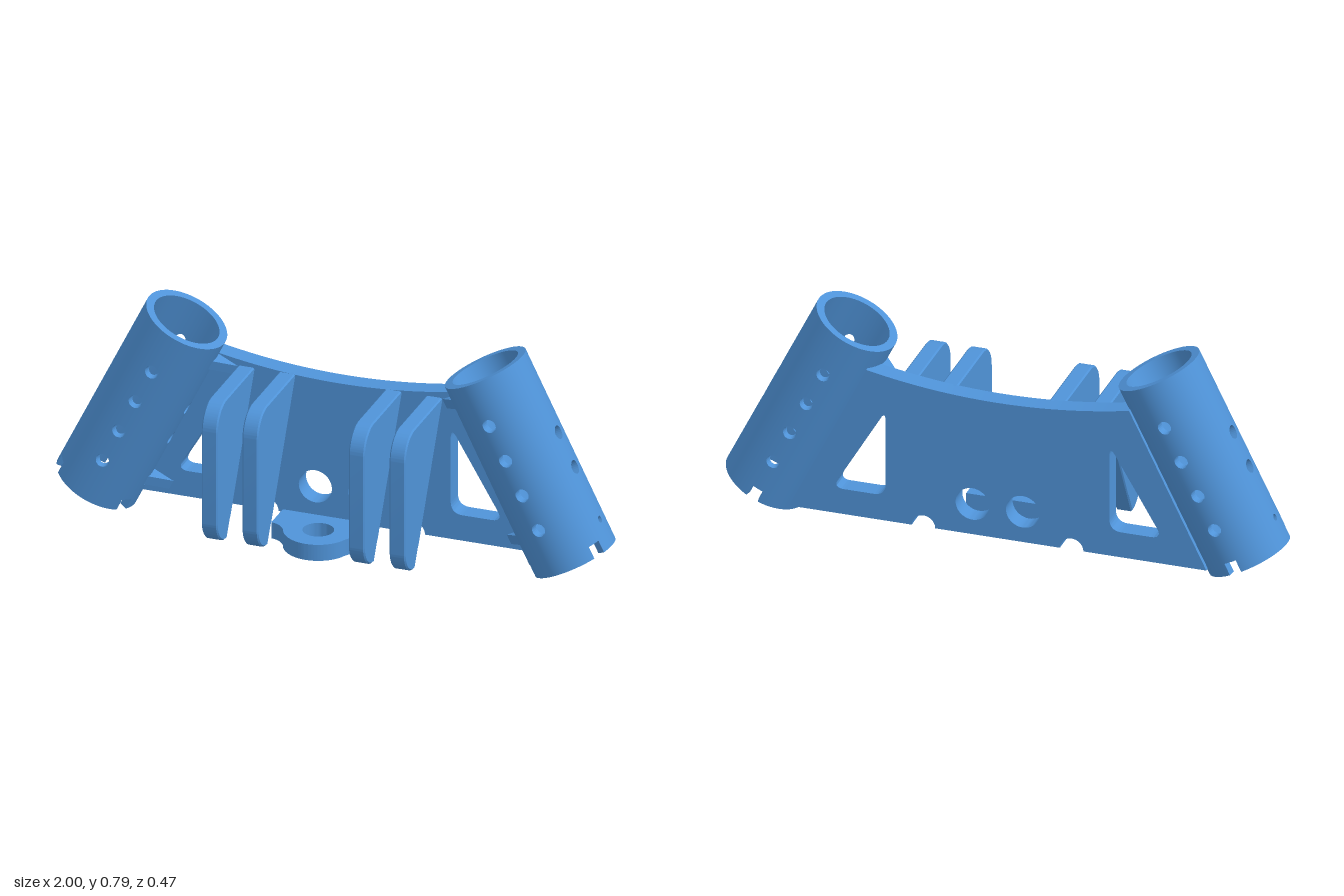
import * as THREE from 'three';
import { toCreasedNormals } from 'three/addons/utils/BufferGeometryUtils.js';

const material = new THREE.MeshStandardMaterial({ color: 0x4f93d8 });
const R = 0.151, WALL = 0.029, LENGTH = 0.731, TILT = 0.4605;
const PI = Math.PI;

function part(name, geometry, parent) {
  const mesh = new THREE.Mesh(geometry, material);
  mesh.name = name;
  parent.add(mesh);
  return mesh;
}

// Extrusion centred on its own thickness, with optional small chamfer
function slab(shape, thickness, bevel = 0) {
  const g = new THREE.ExtrudeGeometry(shape, {
    depth: thickness - 2 * bevel, curveSegments: 24, bevelEnabled: bevel > 0,
    bevelSize: bevel, bevelThickness: bevel, bevelOffset: -bevel, bevelSegments: 1,
  });
  g.translate(0, 0, bevel - thickness / 2);
  return toCreasedNormals(g, 0.5);
}

const circle = (x, y, r) => new THREE.Path().absarc(x, y, r, 0, 2 * PI, true);

// Closed polygon with rounded corners
function roundedPath(points, radius) {
  const path = new THREE.Path();
  const v = points.map(p => new THREE.Vector2(...p));
  v.forEach((p, i) => {
    const toward = q => q.clone().sub(p).setLength(radius).add(p);
    const a = toward(v[(i + v.length - 1) % v.length]), b = toward(v[(i + 1) % v.length]);
    if (i === 0) path.moveTo(a.x, a.y); else path.lineTo(a.x, a.y);
    path.quadraticCurveTo(p.x, p.y, b.x, b.y);
  });
  path.closePath();
  return path;
}

// Keep the part of a polygon on one side of the line x = limit
function clip(poly, limit, sign) {
  const out = [];
  poly.forEach((p, i) => {
    const q = poly[(i + 1) % poly.length];
    const dp = sign * (p.x - limit), dq = sign * (q.x - limit);
    if (dp >= 0) out.push(p);
    if (dp * dq < 0) out.push(p.clone().lerp(q, dp / (dp - dq)));
  });
  return out;
}

// Cut a flat wall into narrow columns and roll it into a tube along y
function rollUp(flat, start, columns) {
  const pos = flat.attributes.position, nor = flat.attributes.normal;
  const step = 2 * PI * R / columns, points = [], normals = [];
  const emit = (p, n) => {
    const a = p.x / R, r = R - WALL + p.z, s = Math.sin(a), c = Math.cos(a);
    points.push(r * s, p.y, r * c);
    normals.push(n.x * c + n.z * s, n.y, -n.x * s + n.z * c);
  };
  for (let i = 0; i < pos.count; i += 3) {
    const tri = [0, 1, 2].map(k => new THREE.Vector3().fromBufferAttribute(pos, i + k));
    const n = new THREE.Vector3().fromBufferAttribute(nor, i);
    const xs = tri.map(p => p.x - start);
    const first = Math.max(0, Math.floor(Math.min(...xs) / step - 1e-6));
    const last = Math.min(columns - 1, Math.floor(Math.max(...xs) / step + 1e-6));
    for (let k = first; k <= last; k++) {
      const lo = k === 0 ? -10 : start + k * step;
      const hi = k === columns - 1 ? 10 : start + (k + 1) * step;
      const poly = clip(clip(tri, lo, 1), hi, -1);
      for (let j = 1; j + 1 < poly.length; j++) [poly[0], poly[j], poly[j + 1]].forEach(p => emit(p, n));
    }
  }
  const g = new THREE.BufferGeometry();
  g.setAttribute('position', new THREE.Float32BufferAttribute(points, 3));
  g.setAttribute('normal', new THREE.Float32BufferAttribute(normals, 3));
  return g;
}

// Tube wall: angle 0 faces front, 90 degrees faces sideways
function tubeGeometry() {
  const start = -PI / 4 * R, end = start + 2 * PI * R, half = 0.0225, depth = 0.045;
  const wall = new THREE.Shape().moveTo(start, 0);
  for (const angle of [PI / 3, PI, 5 * PI / 3]) {
    const u = angle * R;
    wall.lineTo(u - half, 0).lineTo(u - half, depth).lineTo(u + half, depth).lineTo(u + half, 0);
  }
  wall.lineTo(end, 0).lineTo(end, LENGTH).lineTo(start, LENGTH).closePath();
  const drill = (angle, heights, r) => heights.forEach(h => wall.holes.push(circle(angle * R, h, r)));
  for (const turn of [0, PI]) {
    drill(turn, [0.17, 0.304, 0.438, 0.572], 0.024);
    drill(turn + PI / 2, [0.302, 0.436], 0.024);
    drill(turn + PI / 2, [0.1], 0.012);
  }
  const flat = new THREE.ExtrudeGeometry(wall, { depth: WALL, bevelEnabled: false, curveSegments: 12 });
  return rollUp(flat, start, 72);
}

function plateGeometry() {
  const low = 0.045, arcR = 2.33, spread = Math.asin(0.47 / arcR);
  const s = new THREE.Shape().moveTo(-0.747, low);
  for (const x of [-0.265, 0.265]) s.lineTo(x - 0.042, low).absarc(x, low, 0.042, PI, 0, true);
  s.lineTo(0.747, low);
  s.absarc(0, 0.56 + arcR, arcR, -PI / 2 + spread, -PI / 2 - spread, true);
  s.closePath();
  for (const m of [-1, 1]) {
    s.holes.push(circle(m * 0.09, 0.16, 0.06));
    s.holes.push(roundedPath([[m * 0.592, 0.14], [m * 0.4, 0.14], [m * 0.4, 0.465]], 0.045));
  }
  return slab(s, 0.07);
}

// Upright lug drawn in z and y, then turned to face sideways
function lugGeometry() {
  const r = 0.093, front = 0.235, low = 0.045, high = 0.567;
  const s = new THREE.Shape().moveTo(-0.13, low);
  s.absarc(front - r, low + r, r, -PI / 2, 0, false);
  s.absarc(front - r, high - r, r, 0, PI / 2, false);
  s.lineTo(-0.13, high).closePath();
  s.holes.push(circle(0.14, 0.138, 0.034), circle(0.14, 0.482, 0.034));
  return slab(s, 0.058, 0.005).rotateY(-PI / 2);
}

// Horizontal eye between the inner lugs, drawn in x and -z
function eyeGeometry() {
  const s = new THREE.Shape().moveTo(0.17, 0.02).lineTo(-0.17, 0.02).lineTo(-0.17, -0.09);
  s.quadraticCurveTo(-0.125, -0.095, -0.105, -0.148);
  s.absarc(0, -0.09, 0.12, PI + 0.504, 2 * PI - 0.504, false);
  s.quadraticCurveTo(0.125, -0.095, 0.17, -0.09).closePath();
  s.holes.push(circle(0, -0.09, 0.054));
  return slab(s, 0.06).rotateX(-PI / 2);
}

export function createModel() {
  const model = new THREE.Group();
  model.name = 'tubeBracket';

  part('backPlate', plateGeometry(), model).position.z = -0.155;
  part('mountingEye', eyeGeometry(), model).position.y = 0.075;

  const lug = lugGeometry();
  for (const x of [-0.34, -0.1925, 0.1925, 0.34]) part('lug', lug, model).position.x = x;

  // Tilted sockets with gussets bracing them to the plate
  const tube = tubeGeometry();
  for (const side of [-1, 1]) {
    const socket = new THREE.Group();
    socket.name = side > 0 ? 'leftSocket' : 'rightSocket';
    socket.position.set(side * 0.865, 0.0725, -0.08);
    socket.rotation.z = side * TILT;
    part('tube', tube, socket);
    const corners = [[0.14, 0.045], [0.225, 0.045], [0.225, 0.04], [0.14, -0.03]];
    const triangle = new THREE.Shape(corners.map(([x, y]) => new THREE.Vector2(-side * x, y)));
    const gusset = slab(triangle, 0.036).rotateX(-PI / 2);
    for (const y of [0.118, 0.642]) part('gusset', gusset, socket).position.y = y;
    model.add(socket);
  }
  return model;
}
